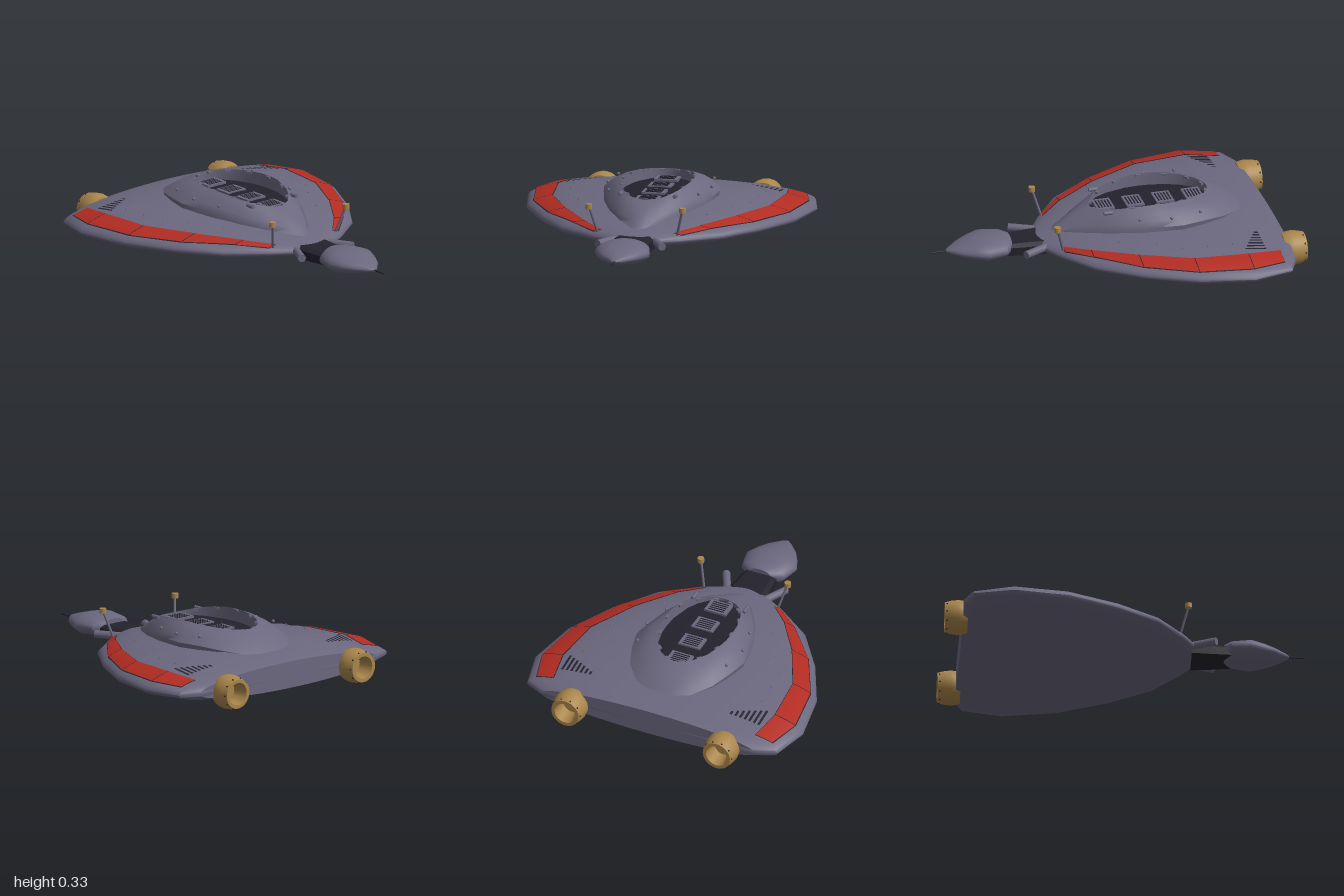
import * as THREE from 'three';
import { toCreasedNormals } from 'three/addons/utils/BufferGeometryUtils.js';

const lerp = THREE.MathUtils.lerp;
const mat = (name, color) => Object.assign(new THREE.MeshStandardMaterial({ color }), { name });

// Hull stations: z, half width, height above the edge, depth below the edge
const EDGE = 0.11;
const HULL = [
  [-0.90, 0.65, 0.08, 0.07], [-0.85, 0.76, 0.092, 0.078], [-0.63, 0.815, 0.125, 0.09],
  [-0.33, 0.76, 0.125, 0.086], [-0.05, 0.62, 0.108, 0.072], [0.18, 0.455, 0.078, 0.055],
  [0.33, 0.25, 0.05, 0.038], [0.41, 0.11, 0.028, 0.025],
];

// Height of the hull's upper skin at any x, z
function hullTop(x, z) {
  let i = 0;
  while (i < HULL.length - 2 && z > HULL[i + 1][0]) i++;
  const a = HULL[i], b = HULL[i + 1], k = (z - a[0]) / (b[0] - a[0]);
  const q = x / lerp(a[1], b[1], k);
  return EDGE + lerp(a[2], b[2], k) * Math.sqrt(Math.max(0, 1 - q * q));
}

// Skin over closed rings of points, with optional flat caps
function loft(rings, capStart, capEnd, crease = 0.7) {
  const n = rings[0].length, pos = rings.flat(2), idx = [];
  for (let i = 0; i < rings.length - 1; i++) {
    for (let j = 0; j < n; j++) {
      const k = (j + 1) % n, a = i * n + j, b = i * n + k;
      idx.push(a, b, b + n, a, b + n, a + n);
    }
  }
  const cap = (r, center, flip) => {
    const c = pos.length / 3;
    pos.push(...center);
    for (let j = 0; j < n; j++) {
      const a = r * n + j, b = r * n + (j + 1) % n;
      idx.push(c, flip ? b : a, flip ? a : b);
    }
  };
  if (capStart) cap(0, capStart, true);
  if (capEnd) cap(rings.length - 1, capEnd, false);
  const g = new THREE.BufferGeometry();
  g.setAttribute('position', new THREE.Float32BufferAttribute(pos, 3));
  g.setIndex(idx);
  return toCreasedNormals(g, crease);
}

// Oval cross-section in the xy plane
function oval(z, w, up, down, cy, n) {
  return Array.from({ length: n }, (_, j) => {
    const t = (j / n) * Math.PI * 2, s = Math.sin(t);
    return [w * Math.cos(t), cy + s * (s > 0 ? up : down), z];
  });
}

// Thin plate lying on the hull; front and back are [inner x, outer x, z]
function hullPlate(front, back, side, lift) {
  const n = 6, pos = [], idx = [];
  for (let v = 0; v <= n; v++) {
    for (let u = 0; u <= n; u++) {
      const p = side > 0 ? u / n : 1 - u / n, q = v / n;
      const x = lerp(lerp(front[0], front[1], p), lerp(back[0], back[1], p), q);
      const z = lerp(front[2], back[2], q);
      pos.push(side * x, hullTop(x, z) + lift, z);
      if (u < n && v < n) {
        const a = v * (n + 1) + u, d = a + n + 1;
        idx.push(a, a + 1, d + 1, a, d + 1, d);
      }
    }
  }
  const g = new THREE.BufferGeometry();
  g.setAttribute('position', new THREE.Float32BufferAttribute(pos, 3));
  g.setIndex(idx);
  g.computeVertexNormals();
  return g;
}

export function createModel() {
  const model = new THREE.Group();
  const grey = mat('hull grey', 0x6b677e), dark = mat('dark', 0x23222d);
  const red = mat('stripe red', 0xb32c22), bronze = mat('bronze', 0xa9854b);
  const add = (name, geo, m, x = 0, y = 0, z = 0) => {
    const mesh = new THREE.Mesh(geo, m);
    mesh.name = name;
    mesh.position.set(x, y, z);
    model.add(mesh);
    return mesh;
  };
  const rod = (name, a, b, r, m) => {
    const p = new THREE.Vector3(...a), d = new THREE.Vector3(...b).sub(p);
    const mesh = add(name, new THREE.CylinderGeometry(r, r, d.length(), 14), m);
    mesh.position.copy(p).addScaledVector(d, 0.5);
    mesh.quaternion.setFromUnitVectors(new THREE.Vector3(0, 1, 0), d.normalize());
  };

  // Hull
  add('hull', loft(HULL.map(([z, w, u, d]) => oval(z, w, u, d, EDGE, 64)),
    [0, EDGE, -0.9], [0, EDGE, 0.41]), grey);

  // Canopy: raised shell with an oval well in its top; half outline as x, z, y
  const half = [[0, 0.34, 0.15], [0.04, 0.305, 0.16], [0.12, 0.2, 0.18], [0.17, 0.115, 0.195],
    [0.22, 0.03, 0.21], [0.28, -0.12, 0.235], [0.305, -0.235, 0.245], [0.325, -0.35, 0.25],
    [0.295, -0.48, 0.25], [0.25, -0.6, 0.24], [0.16, -0.71, 0.22], [0.07, -0.77, 0.2], [0, -0.78, 0.19]];
  const outline = [...half, ...half.slice(1, -1).reverse().map(([x, z, y]) => [-x, z, y])];
  const CZ = -0.235;
  const rimPoint = ([x, z]) => {
    const k = 1 / Math.hypot(x / 0.2, (z - CZ) / 0.335);
    const c = (z - CZ) * k / 0.335;
    return [x * k, 0.335 - (c > 0 ? 0.055 : 0.02) * c * c, CZ + (z - CZ) * k];
  };
  const shell = [outline.map(([x, z, y]) => [x * 0.97, y - 0.07, CZ + (z - CZ) * 0.97])];
  for (const t of [0, 0.25, 0.5, 0.75, 1]) {
    shell.push(outline.map((p) => {
      const r = rimPoint(p);
      return [lerp(p[0], r[0], t), lerp(p[2], r[1], t) + 0.012 * Math.sin(Math.PI * t), lerp(p[1], r[2], t)];
    }));
  }
  const wellRing = outline.map((p) => { const r = rimPoint(p); return [r[0] * 0.99, 0.262, r[2]]; });
  shell.push(wellRing);
  add('canopy', loft(shell, null, null, 0.9), grey);
  add('wellFloor', loft([wellRing], null, [0, 0.274, CZ]), dark);

  // Grilles in the well
  for (const z of [-0.49, -0.32, -0.15, 0.02]) {
    add('grille', new THREE.BoxGeometry(0.13, 0.014, 0.1), grey, 0, 0.272, z);
    for (let i = 0; i < 5; i++) {
      add('grilleSlot', new THREE.BoxGeometry(0.092, 0.004, 0.007), dark, 0, 0.279, z - 0.034 + i * 0.017);
    }
  }
  // Clamps around the well
  for (let i = 0; i < 14; i++) {
    const a = ((i + 0.5) / 14) * Math.PI * 2;
    const [x, y, z] = rimPoint([0.2 * Math.sin(a), CZ + 0.335 * Math.cos(a)]);
    add('rimClamp', new THREE.BoxGeometry(0.014, 0.012, 0.03), grey, x * 0.97, y - 0.008, CZ + (z - CZ) * 0.97).rotation.y = a + Math.PI / 2;
  }

  // Head, neck and nose spike
  const head = [[0.56, 0.075, 0.045], [0.6, 0.13, 0.056], [0.71, 0.155, 0.065], [0.78, 0.125, 0.05],
    [0.84, 0.09, 0.034], [0.9, 0.035, 0.016], [0.92, 0.01, 0.007]];
  add('head', loft(head.map(([z, w, h]) => oval(z, w, h, h, lerp(0.12, 0.11, (z - 0.56) / 0.36), 32)),
    [0, 0.12, 0.56], [0, 0.11, 0.92]), grey);
  add('neck', loft([[0.38, 0.115, 0.033], [0.48, 0.105, 0.033], [0.6, 0.09, 0.03]].map(([z, w, h]) =>
    [[w, -h], [w, h * 0.5], [w * 0.75, h], [-w * 0.75, h], [-w, h * 0.5], [-w, -h]].map(([x, y]) => [x, 0.107 + y, z])),
    [0, 0.107, 0.38], [0, 0.107, 0.6], 0.3), dark);
  rod('noseSpike', [0, 0.108, 0.9], [0, 0.108, 1], 0.004, dark);

  // Engine nozzle profile: outer wall, lip, hollow
  const nozzle = toCreasedNormals(new THREE.LatheGeometry(
    [[0, 0], [0.085, 0], [0.094, 0.025], [0.097, 0.05], [0.092, 0.09], [0.083, 0.125],
      [0.063, 0.125], [0.05, 0.035], [0, 0.035]].map((p) => new THREE.Vector2(...p)), 28), 0.6);
  nozzle.rotateX(-Math.PI / 2);

  const stripe = [[0.205, 0.245, 0.31], [0.325, 0.385, 0.18], [0.48, 0.577, -0.05],
    [0.615, 0.72, -0.33], [0.645, 0.767, -0.63], [0.615, 0.715, -0.82]];
  const panels = [[0.36, 0.45, -0.08, -0.19], [0.41, 0.53, -0.22, -0.31], [0.42, 0.55, -0.35, -0.45],
    [0.42, 0.56, -0.49, -0.59], [0.28, 0.35, 0.09, -0.0]];

  for (const s of [1, -1]) {
    // Stripe panels on a dark backing that shows as seams
    for (let i = 0; i < stripe.length - 1; i++) {
      const a = stripe[i], b = stripe[i + 1];
      add('stripeBacking', hullPlate([a[0] - 0.004, a[1] + 0.004, a[2]], [b[0] - 0.004, b[1] + 0.004, b[2]], s, 0.002), dark);
      add('stripePanel', hullPlate([a[0], a[1], a[2] - 0.002], [b[0], b[1], b[2] + 0.002], s, 0.005), red);
    }
    // Access panels with a bolt each
    for (const [x0, x1, z0, z1] of panels) {
      add('accessPanel', hullPlate([x0, x1, z0], [x1 - x0 > 0.1 ? x0 : x0 + 0.03, x1 + 0.01, z1], s, 0.006), grey);
      add('panelBolt', new THREE.SphereGeometry(0.006, 8, 6), grey, s * (x1 - 0.02), hullTop(x1 - 0.02, z1 + 0.02) + 0.006, z1 + 0.02);
    }
    // Slatted vent, shorter toward the middle
    for (let i = 0; i < 7; i++) {
      const x = 0.422 + i * 0.028, z = -0.72 + i * 0.0155;
      add('ventSlot', hullPlate([x, x + 0.013, z], [x, x + 0.013, -0.745], s, 0.004), dark);
    }
    // Engine and its rivets
    add('engine', nozzle, bronze, s * 0.46, 0.1, -0.875);
    for (let i = 0; i < 10; i++) {
      const a = (i / 10) * Math.PI * 2;
      add('engineRivet', new THREE.SphereGeometry(0.005, 8, 6), dark,
        s * 0.46 + 0.086 * Math.cos(a), 0.1 + 0.086 * Math.sin(a), -0.988);
    }
    // Mast with bronze cap
    rod('mast', [s * 0.222, 0.13, 0.31], [s * 0.262, 0.285, 0.354], 0.007, grey);
    add('mastCap', new THREE.CylinderGeometry(0.019, 0.019, 0.027, 16), bronze, s * 0.264, 0.289, 0.355);
    // Side tubes beside the neck
    rod('sideTube', [s * 0.115, 0.115, 0.38], [s * 0.182, 0.115, 0.512], 0.022, grey);
    // Canopy studs
    for (const [x, y, z] of [[0.27, 0.295, -0.46], [0.292, 0.286, -0.29], [0.253, 0.279, -0.12]]) {
      add('canopyStud', new THREE.SphereGeometry(0.009, 10, 8), grey, s * x, y, z);
    }
    add('canopyLamp', new THREE.CylinderGeometry(0.011, 0.011, 0.05, 12), grey, s * 0.155, 0.296, 0.035).rotation.x = Math.PI / 2;
  }
  return model;
}
